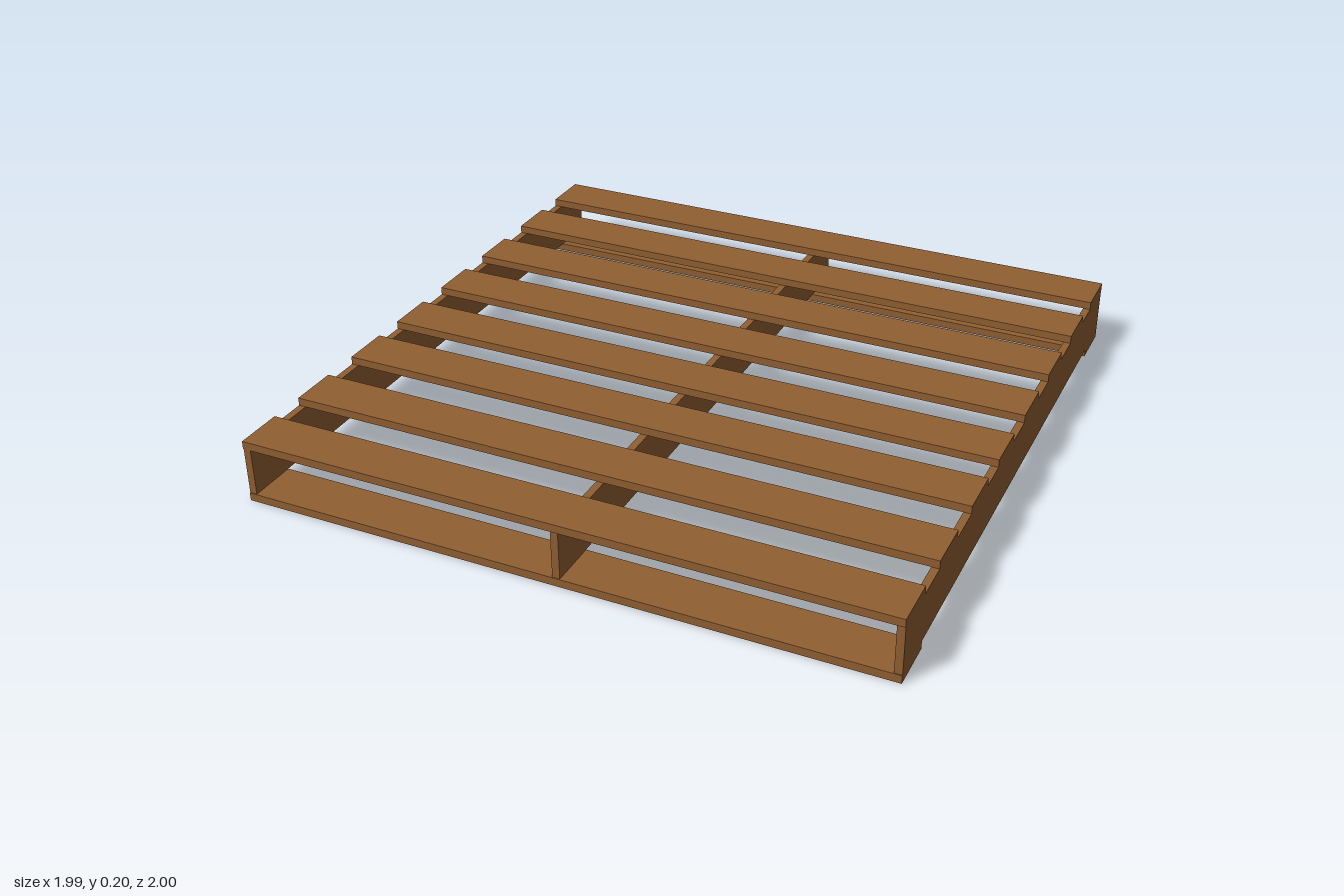
import * as THREE from 'three';

export function createModel() {
  const pallet = new THREE.Group();
  pallet.name = 'pallet';
  const wood = new THREE.MeshStandardMaterial({ color: 0x915f32, flatShading: true });

  const halfX = 0.993;      // half the board length
  const thick = 0.025;      // board thickness
  const boardDepth = 0.153;
  const height = 0.2;
  const stringerWidth = 0.023;

  function plank(name, w, h, d, x, y, z) {
    const mesh = new THREE.Mesh(new THREE.BoxGeometry(w, h, d), wood);
    mesh.name = name;
    mesh.position.set(x, y, z);
    pallet.add(mesh);
  }

  // Deck boards across the top, slightly unevenly spaced
  [-0.924, -0.67, -0.402, -0.139, 0.126, 0.381, 0.656, 0.924].forEach((z, i) =>
    plank(`deckBoard${i + 1}`, 2 * halfX, thick, boardDepth, 0, height - thick / 2, z));

  // Upright stringers running front to back, the middle one just off centre
  const edge = halfX - stringerWidth / 2;
  [['rightStringer', -edge], ['middleStringer', 0.012], ['leftStringer', edge]].forEach(([name, x]) =>
    plank(name, stringerWidth, height - 2 * thick, 1.996, x, height / 2, 0));

  // Bottom boards at the front and back only
  [['backBottomBoard', -0.924], ['frontBottomBoard', 0.924]].forEach(([name, z]) =>
    plank(name, 2 * halfX, thick, boardDepth, 0, thick / 2, z));

  return pallet;
}
